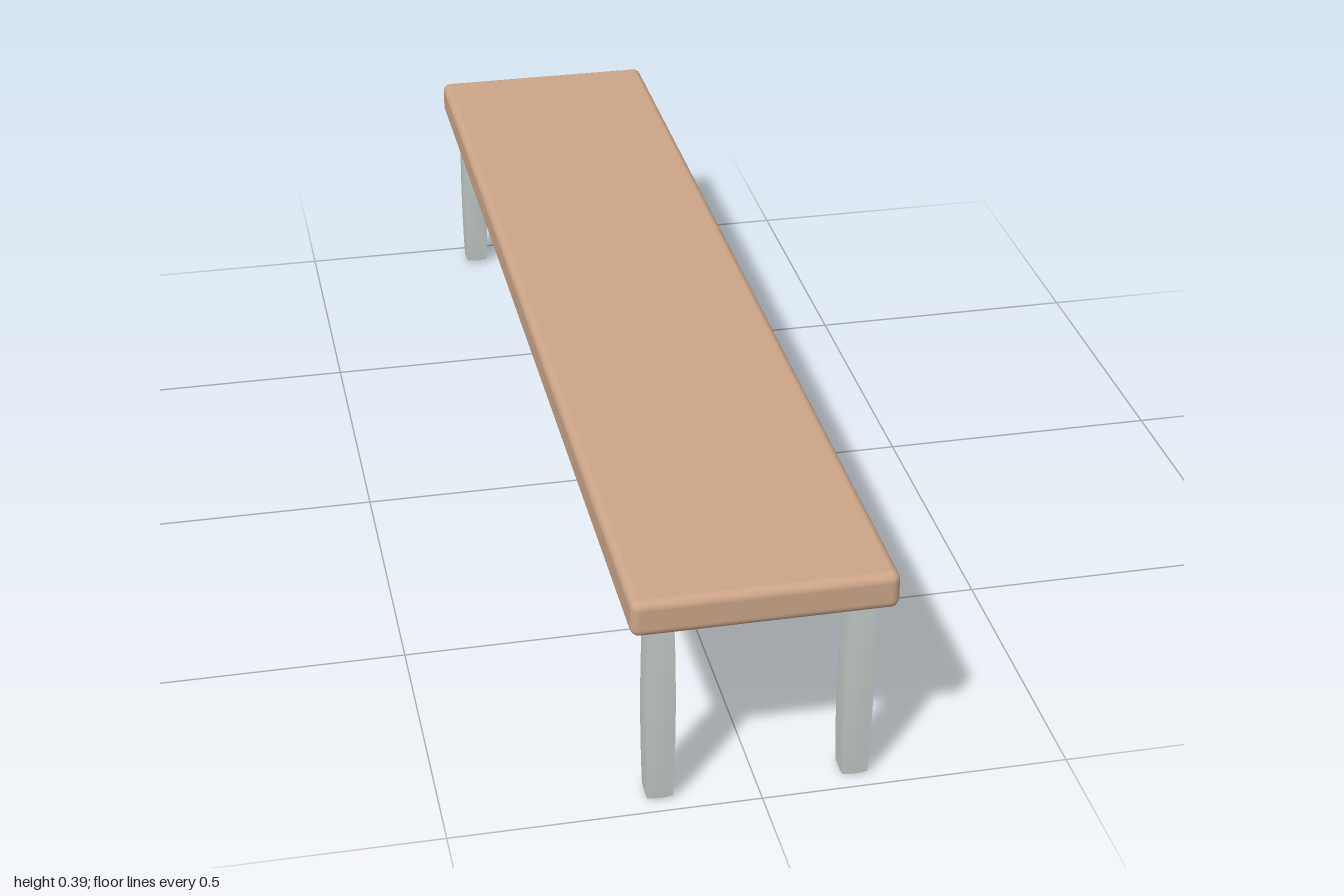
import * as THREE from 'three';
import { RoundedBoxGeometry } from 'three/addons/geometries/RoundedBoxGeometry.js';

// Square post whose faces and ends swell slightly outward
function bulgedPost(half, height) {
  const halfY = height / 2, dome = 0.005;
  const geo = new THREE.BoxGeometry(2, 2, 2, 4, 8, 4);
  const pos = geo.attributes.position;
  for (let i = 0; i < pos.count; i++) {
    const u = pos.getX(i), v = pos.getY(i), w = pos.getZ(i);
    const mid = 1 - v * v;
    pos.setXYZ(
      i,
      half * u * (1 + mid * (0.12 + 0.08 * (1 - w * w))),
      (halfY - dome) * v + dome * v * (1 - (u * u + w * w) / 2),
      half * w * (1 + mid * (0.12 + 0.08 * (1 - u * u)))
    );
  }
  geo.computeVertexNormals();
  return geo;
}

export function createModel() {
  const model = new THREE.Group();
  model.name = 'bench';
  const wood = new THREE.MeshStandardMaterial({ color: 0xcca588 });
  wood.name = 'tan wood';
  const metal = new THREE.MeshStandardMaterial({ color: 0xc2c9c7 });
  metal.name = 'pale grey metal';

  // Long plank with rounded edges
  const seat = new THREE.Mesh(new RoundedBoxGeometry(0.42, 0.063, 2, 4, 0.015), wood);
  seat.name = 'seat';
  seat.position.y = 0.36;
  model.add(seat);

  // Four legs near the corners
  const legHeight = 0.328;
  const legGeometry = bulgedPost(0.0208, legHeight);
  for (const [end, z] of [['front', 0.95], ['back', -0.95]]) {
    for (const [side, x] of [['Left', 0.158], ['Right', -0.158]]) {
      const leg = new THREE.Mesh(legGeometry, metal);
      leg.name = `${end}${side}Leg`;
      leg.position.set(x, legHeight / 2, z);
      model.add(leg);
    }
  }
  return model;
}
